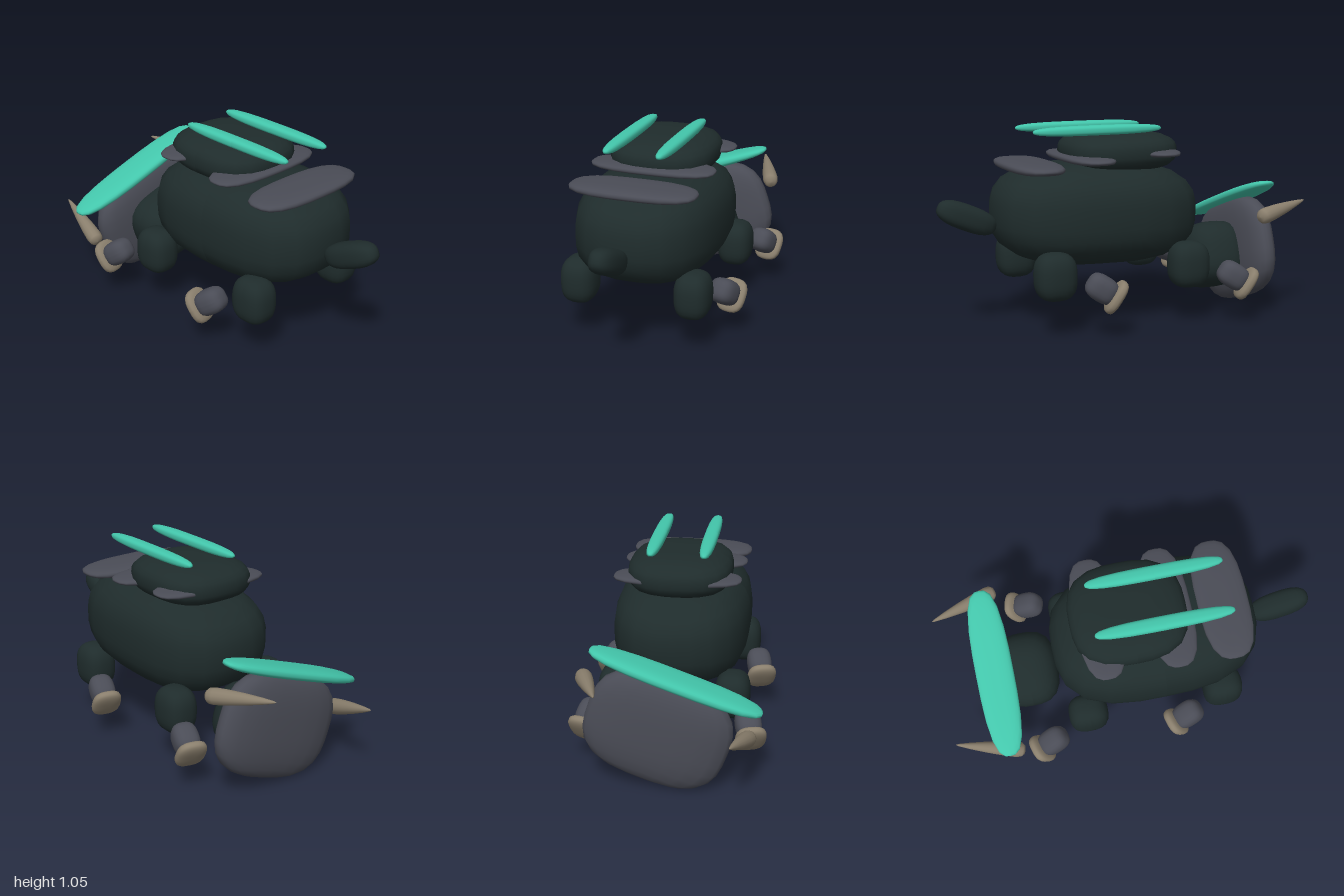
import * as THREE from 'three';

const mat = (name, color) => {
  const m = new THREE.MeshStandardMaterial({ color });
  m.name = name;
  return m;
};

// Rounded block: a unit sphere pushed out to a superellipsoid of exponent n
function blob(name, material, half, pos, n = 2.9) {
  const g = new THREE.SphereGeometry(1, 24, 16);
  const p = g.attributes.position;
  const v = new THREE.Vector3();
  for (let i = 0; i < p.count; i++) {
    v.fromBufferAttribute(p, i);
    const s = Math.abs(v.x) ** n + Math.abs(v.y) ** n + Math.abs(v.z) ** n;
    v.multiplyScalar(s ** (-1 / n));
    p.setXYZ(i, v.x * half[0], v.y * half[1], v.z * half[2]);
  }
  g.computeVertexNormals();
  const mesh = new THREE.Mesh(g, material);
  mesh.name = name;
  mesh.position.set(...pos);
  return mesh;
}

// Tapered horn with a rounded root, running from base to tip
function horn(name, material, base, tip, radius) {
  const a = new THREE.Vector3(...base);
  const dir = new THREE.Vector3(...tip).sub(a);
  const len = dir.length();
  const profile = [[0, 0], [0.6, 0.01], [0.9, 0.05], [1, 0.13], [0.92, 0.3], [0.7, 0.55], [0.4, 0.8], [0.15, 0.96], [0, 1]]
    .map(([r, t]) => new THREE.Vector2(r * radius, t * len));
  const mesh = new THREE.Mesh(new THREE.LatheGeometry(profile, 14), material);
  mesh.name = name;
  mesh.position.copy(a);
  mesh.quaternion.setFromUnitVectors(new THREE.Vector3(0, 1, 0), dir.normalize());
  return mesh;
}

export function createModel() {
  const dark = mat('dark hide', 0x1f2c2c);
  const grey = mat('slate armour', 0x4a4c56);
  const tan = mat('horn tan', 0x8a7f6d);
  const teal = mat('teal glow', 0x43c6ab);

  const model = new THREE.Group();
  model.name = 'creature';

  // Torso and the raised hump on top
  const body = blob('body', dark, [0.36, 0.268, 0.55], [0, 0.602, 0.15]);
  body.rotation.x = -0.025;
  model.add(body);
  model.add(blob('hump', dark, [0.272, 0.105, 0.302], [0, 0.92, 0.01]));

  // Snout tilted upward at the front
  const snout = blob('snout', dark, [0.067, 0.067, 0.163], [0, 0.61, 0.845], 2.7);
  snout.rotation.x = -0.4;
  model.add(snout);

  // Stepped armour plates across the back
  [[0.86, 0.51, 0.03, 0.133], [0.892, 0.222, 0.024, 0.12], [0.917, -0.147, 0.022, 0.117]]
    .forEach(([y, z, h, d], i) => model.add(blob('backPlate' + (i + 1), grey, [0.332, h, d], [0, y, z])));

  for (const s of [1, -1]) {
    const side = s > 0 ? 'left' : 'right';

    // Long glowing ridge on the hump
    model.add(blob(side + 'Ridge', teal, [0.037, 0.026, 0.357], [s * 0.138, 1.043, 0.175]));

    // Front and rear legs, each with a separate shin and foot behind it
    for (const [end, thighZ, shinZ] of [['Front', 0.482, 0.27], ['Rear', -0.268, -0.483]]) {
      model.add(blob(side + end + 'Thigh', dark, [0.092, 0.123, 0.107], [s * 0.307, 0.333, thighZ]));
      const leg = new THREE.Group();
      leg.name = side + end + 'LowerLeg';
      leg.position.set(s * 0.407, 0.272, shinZ);
      leg.rotation.set(1.0, -s * 0.27, 0, 'YXZ');
      leg.add(blob('shin', grey, [0.067, 0.084, 0.067], [0, 0, 0]));
      leg.add(blob('foot', tan, [0.079, 0.031, 0.092], [0, -0.085, 0]));
      model.add(leg);
    }
  }

  // Tail section, rolled to one side: stub, flat shell, crest and two horns
  const tail = new THREE.Group();
  tail.name = 'tail';
  tail.position.set(0.02, 0.33, 0);
  tail.rotation.z = 0.335;
  tail.add(blob('tailStub', dark, [0.205, 0.18, 0.17], [-0.012, -0.022, -0.552]));
  tail.add(blob('tailShell', grey, [0.365, 0.277, 0.09], [0, 0, -0.716]));
  tail.add(blob('tailCrest', teal, [0.445, 0.032, 0.1], [0, 0.283, -0.719]));
  for (const s of [1, -1]) {
    tail.add(horn(s > 0 ? 'leftHorn' : 'rightHorn', tan, [s * 0.44, 0.1, -0.645], [s * 0.335, 0.195, -1], 0.043));
  }
  model.add(tail);

  return model;
}
